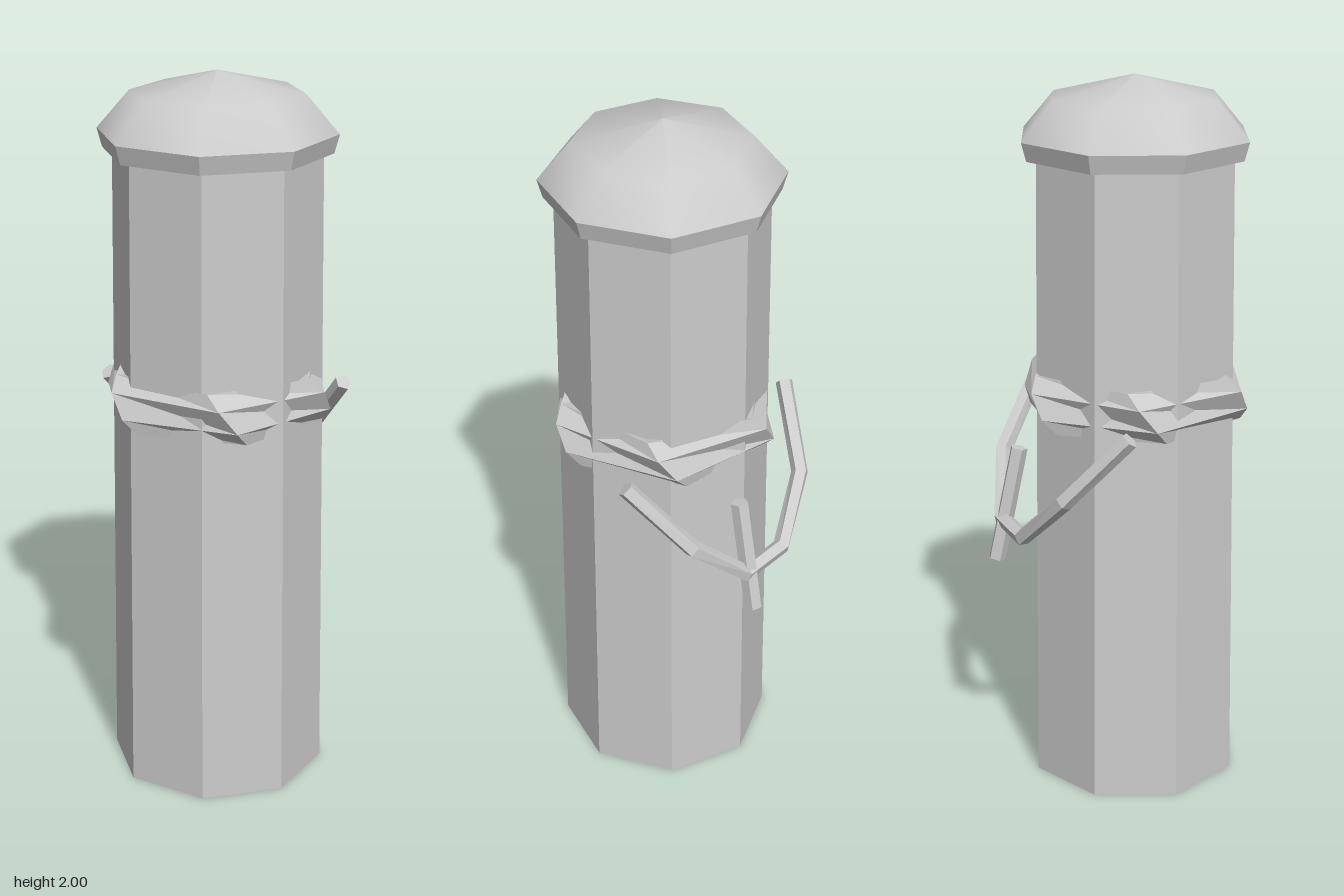
import * as THREE from 'three';

const flatGrey = new THREE.MeshStandardMaterial({ color: 0xcccccc, flatShading: true });
const smoothGrey = new THREE.MeshStandardMaterial({ color: 0xcccccc });

// Solid skin through a list of equal-sized rings, capped at both ends
function loft(rings) {
  const n = rings[0].length, index = [], last = (rings.length - 1) * n;
  for (let i = 0; i < rings.length - 1; i++) {
    for (let j = 0; j < n; j++) {
      const a = i * n + j, b = i * n + (j + 1) % n, c = a + n, d = b + n;
      index.push(a, c, d, a, d, b);
    }
  }
  for (let j = 1; j < n - 1; j++) index.push(0, j, j + 1, last, last + j + 1, last + j);
  const g = new THREE.BufferGeometry().setFromPoints(rings.flat());
  g.setIndex(index);
  const flat = g.toNonIndexed();
  flat.computeVertexNormals();
  return flat;
}

// Five-sided rod following a polyline, mitred at its bends
function rod(points, radius) {
  const p = points.map(q => new THREE.Vector3(...q));
  const ref = new THREE.Vector3(0, 0, 1);
  return loft(p.map((q, i) => {
    const t = new THREE.Vector3();
    if (i > 0) t.add(q.clone().sub(p[i - 1]).normalize());
    if (i < p.length - 1) t.add(p[i + 1].clone().sub(q).normalize());
    t.normalize();
    const u = t.clone().cross(ref).normalize(), v = t.clone().cross(u);
    return Array.from({ length: 5 }, (_, k) => {
      const a = k / 5 * Math.PI * 2;
      return q.clone().addScaledVector(u, radius * Math.cos(a)).addScaledVector(v, -radius * Math.sin(a));
    });
  }));
}

export function createModel() {
  const model = new THREE.Group();
  const column = new THREE.Group();
  column.name = 'column';
  column.position.z = 0.045;
  model.add(column);

  const add = (parent, name, geometry, material = flatGrey) => {
    const mesh = new THREE.Mesh(geometry, material);
    mesh.name = name;
    parent.add(mesh);
    return mesh;
  };
  const lathe = pts => new THREE.LatheGeometry(pts.map(q => new THREE.Vector2(...q)), 8);

  // Octagonal post, flared rim and smooth domed cap
  add(column, 'post', new THREE.CylinderGeometry(0.284, 0.302, 1.8, 8)).position.y = 0.9;
  add(column, 'rim', lathe([[0.27, 1.787], [0.311, 1.787], [0.325, 1.838]]));
  add(column, 'dome', lathe([[0.325, 1.838], [0.235, 1.942], [0, 2]]), smoothGrey);

  // Twisted six-sided band: radius, height, turn in degrees
  const band = [[0.25, 1.19, 0], [0.3, 1.203, 3], [0.329, 1.163, 8.7],
    [0.329, 1.1, 17.4], [0.302, 1.06, 23], [0.25, 1.07, 26]];
  add(column, 'ropeBand', loft(band.map(([r, y, turn]) => Array.from({ length: 6 }, (_, k) => {
    const a = THREE.MathUtils.degToRad(turn + k * 60);
    return new THREE.Vector3(r * Math.sin(a), y, r * Math.cos(a));
  }))));

  // Slack rope hanging behind the post, with a toggle peg through it
  const half = [[0.337, 1.1, -0.115], [0.233, 0.91, -0.262], [0.08, 0.765, -0.324]];
  const mirrored = half.map(([x, y, z]) => [-x, y, z]).reverse();
  add(model, 'hangingRope', rod([...half, ...mirrored], 0.025));
  add(model, 'togglePeg', rod([[0.058, 0.975, -0.279], [0.07, 0.65, -0.346]], 0.025));

  return model;
}
